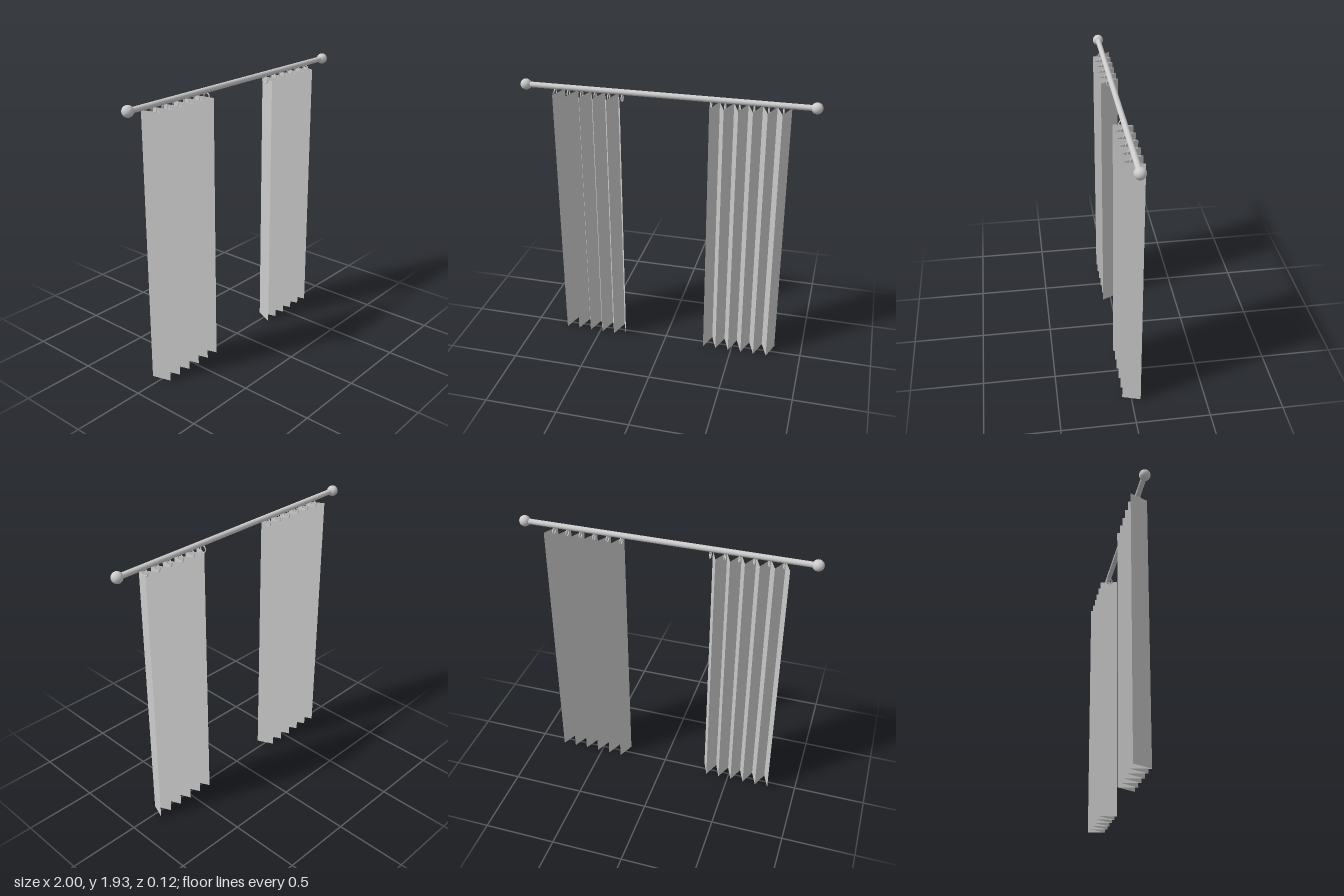
import * as THREE from 'three';

const ROD_Y = 1.89, TOP = 1.848, DEPTH = 0.06;
const INNER = 0.295, PLEAT = 0.0464, PLEATS = 11;

// Zigzag sheet from the inner edge outwards; back folds hang slightly higher
function pleatedSheet(side) {
  const pos = [];
  const fold = (i) => {
    const back = i % 2 === 1;
    return { x: side * (INNER + i * PLEAT), z: back ? -DEPTH : DEPTH, lift: back ? 0.009 : 0 };
  };
  for (let i = 0; i < PLEATS; i++) {
    const [a, b] = side > 0 ? [fold(i), fold(i + 1)] : [fold(i + 1), fold(i)];
    const a0 = [a.x, a.lift, a.z], a1 = [a.x, TOP + a.lift, a.z];
    const b0 = [b.x, b.lift, b.z], b1 = [b.x, TOP + b.lift, b.z];
    pos.push(...a0, ...b0, ...b1, ...a0, ...b1, ...a1);
  }
  const geo = new THREE.BufferGeometry();
  geo.setAttribute('position', new THREE.Float32BufferAttribute(pos, 3));
  geo.computeVertexNormals();
  return geo;
}

export function createModel() {
  const model = new THREE.Group();
  model.name = 'curtains';
  const metal = new THREE.MeshStandardMaterial({ color: 0xcccccc });
  const cloth = new THREE.MeshStandardMaterial({ color: 0xcccccc, side: THREE.DoubleSide });

  const add = (parent, name, geo, mat, x = 0, y = 0, z = 0) => {
    const mesh = new THREE.Mesh(geo, mat);
    mesh.name = name;
    mesh.position.set(x, y, z);
    parent.add(mesh);
    return mesh;
  };

  // Rod
  const rod = new THREE.CylinderGeometry(0.0185, 0.0185, 1.92, 32).rotateZ(Math.PI / 2);
  add(model, 'rod', rod, metal, 0, ROD_Y);

  const ball = new THREE.SphereGeometry(0.037, 32, 20);
  const ring = new THREE.TorusGeometry(0.0225, 0.004, 10, 28).rotateY(Math.PI / 2);

  for (const side of [1, -1]) {
    const half = new THREE.Group();
    half.name = side > 0 ? 'leftCurtain' : 'rightCurtain';
    model.add(half);

    // End ball and pleated cloth
    add(half, 'finial', ball, metal, side * 0.963, ROD_Y);
    add(half, 'cloth', pleatedSheet(side), cloth);

    // One ring at every front fold
    for (let i = 0; i < PLEATS; i += 2) {
      add(half, 'ring', ring, metal, side * (INNER + i * PLEAT), 1.849);
    }
  }
  return model;
}
